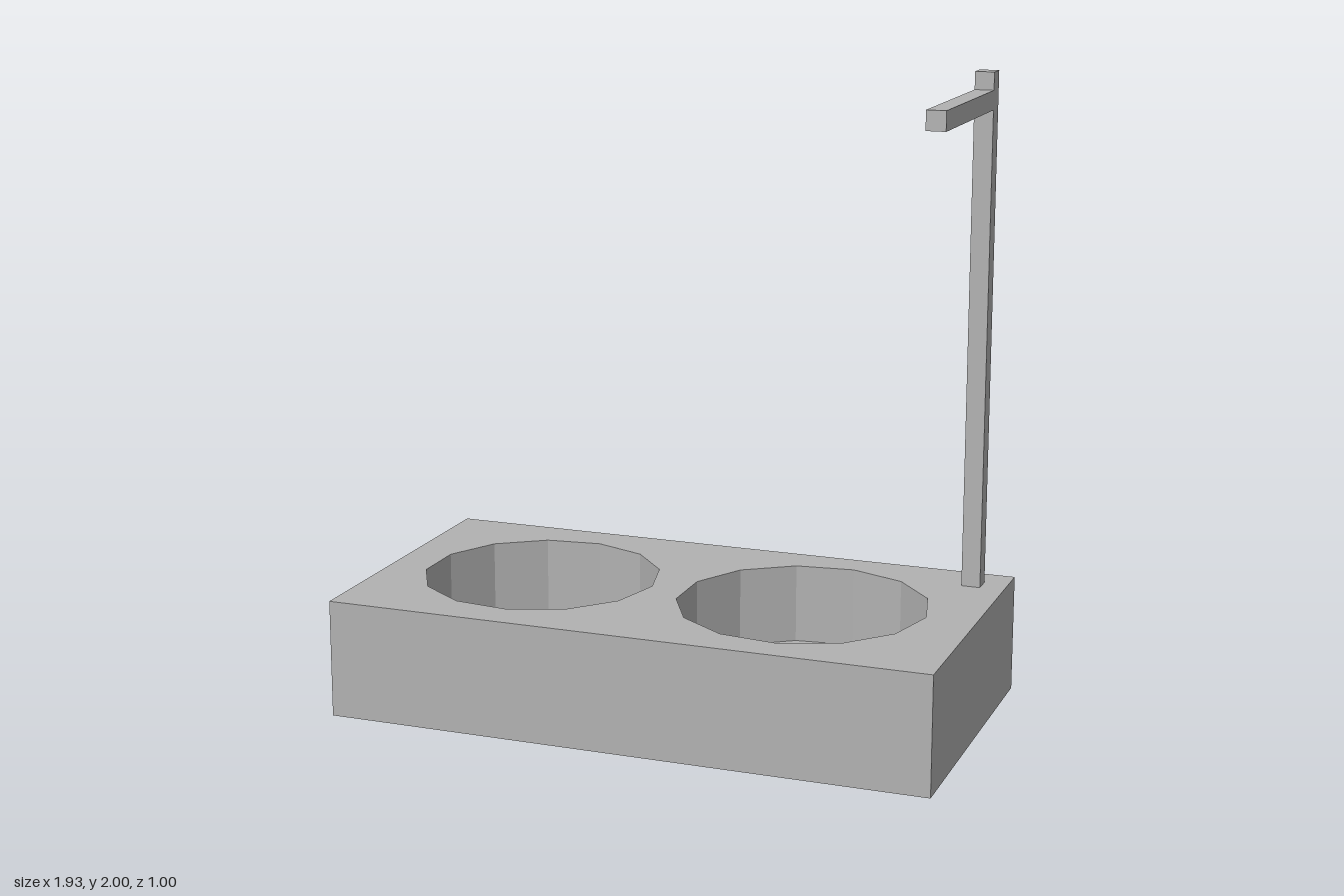
import * as THREE from 'three';

const SIDES = 13;
const WELLS = [
  { x: -0.465, upper: 0.38, lower: 0.34 },
  { x: 0.415, upper: 0.395, lower: 0.355 },
];

// Thirteen-sided opening with one corner pointing to +x
function opening(x, radius) {
  const points = [];
  for (let i = 0; i < SIDES; i++) {
    const a = (i / SIDES) * Math.PI * 2;
    points.push(new THREE.Vector2(x + radius * Math.cos(a), radius * Math.sin(a)));
  }
  return new THREE.Path(points);
}

// Rectangular slab pierced by both openings
function slab(level, y0, y1) {
  const shape = new THREE.Shape([
    new THREE.Vector2(-0.967, -0.5),
    new THREE.Vector2(0.967, -0.5),
    new THREE.Vector2(0.967, 0.5),
    new THREE.Vector2(-0.967, 0.5),
  ]);
  for (const well of WELLS) shape.holes.push(opening(well.x, well[level]));
  const geometry = new THREE.ExtrudeGeometry(shape, { depth: y1 - y0, bevelEnabled: false });
  return geometry.rotateX(-Math.PI / 2).translate(0, y0, 0);
}

export function createModel() {
  const model = new THREE.Group();
  model.name = 'twoWellStand';
  const grey = new THREE.MeshStandardMaterial({ color: 0xb2b2b2 });
  grey.name = 'grey';

  const add = (name, geometry, parent = model) => {
    const mesh = new THREE.Mesh(geometry, grey);
    mesh.name = name;
    parent.add(mesh);
  };

  // Base: the narrower lower openings leave a ledge inside each well
  const base = new THREE.Group();
  base.name = 'base';
  model.add(base);
  add('lowerBase', slab('lower', 0, 0.12), base);
  add('upperBase', slab('upper', 0.12, 0.375), base);

  // Upright post at the back left corner, with an arm reaching forward
  add('post', new THREE.BoxGeometry(0.06, 1.625, 0.06).translate(0.86, 1.1875, -0.38));
  add('arm', new THREE.BoxGeometry(0.06, 0.06, 0.56).translate(0.86, 1.915, -0.07));

  return model;
}
